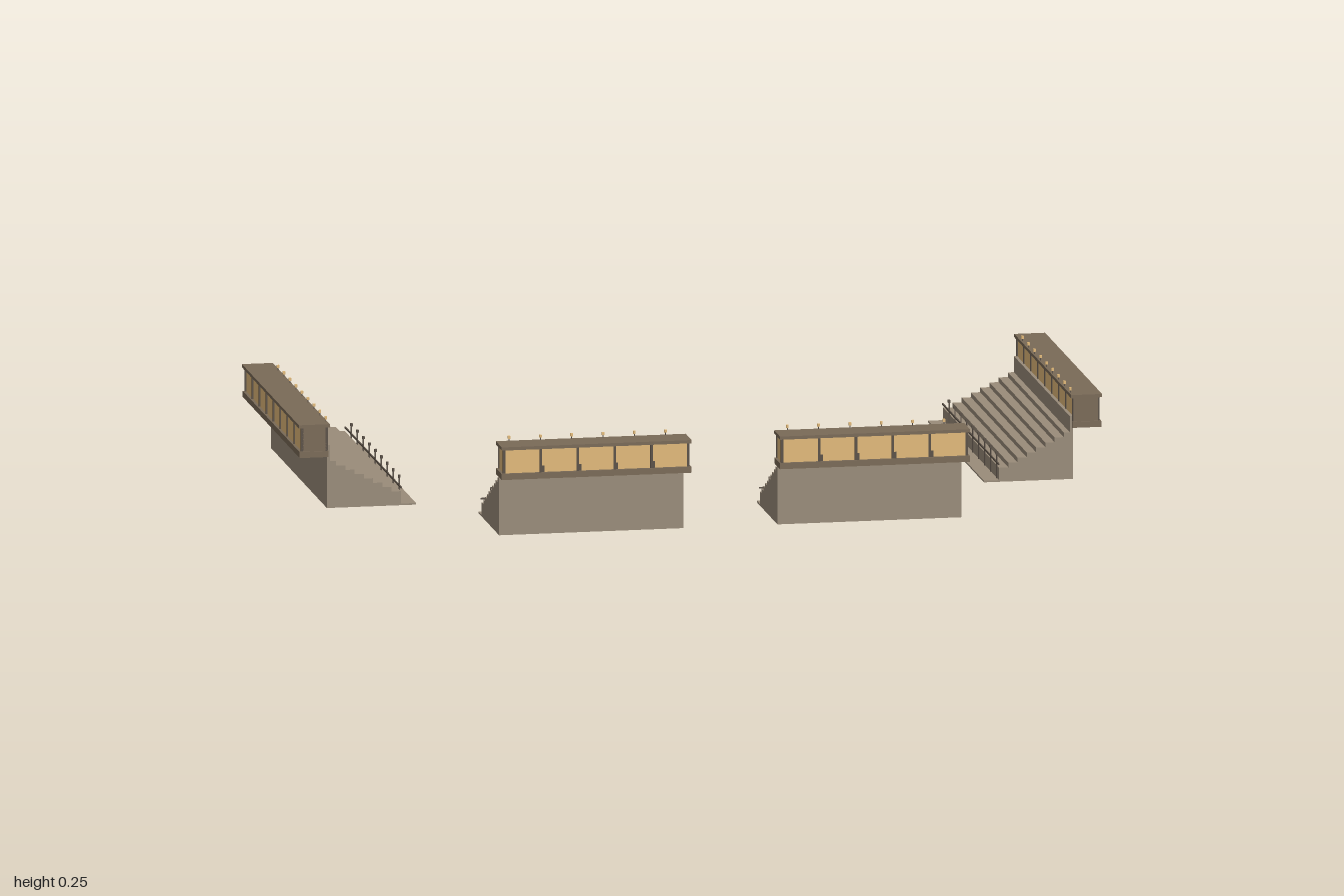
import * as THREE from 'three';

const mat = (color) => new THREE.MeshStandardMaterial({ color, flatShading: true });
const concrete = mat(0x9a8c7a), roofing = mat(0x7a6a57), dark = mat(0x5a5046), glass = mat(0xe3bb7a);

const APRON = 0.038, TREAD = 0.023, RISE = 0.0117, FIRST = 0.035;

// Box given by its min and max corners
function block(parent, name, material, [x0, y0, z0], [x1, y1, z1]) {
  const geo = new THREE.BoxGeometry(x1 - x0, y1 - y0, z1 - z0);
  const mesh = new THREE.Mesh(geo, material);
  mesh.position.set((x0 + x1) / 2, (y0 + y1) / 2, (z0 + z1) / 2);
  mesh.name = name;
  parent.add(mesh);
  return mesh;
}

// One grandstand: length along +x, rows rising towards +z
function grandstand({ length: L, rows, bays, flip = false, closedEnd = false }) {
  const g = new THREE.Group();
  const back = APRON + rows * TREAD;
  const top = FIRST + (rows - 1) * RISE;
  const along = (u) => (flip ? L - u : u);

  // Stepped terrace with its low apron
  const s = new THREE.Shape();
  s.moveTo(0, 0);
  s.lineTo(0, 0.004);
  s.lineTo(APRON, 0.004);
  for (let i = 0; i < rows; i++) {
    s.lineTo(APRON + i * TREAD, FIRST + i * RISE);
    s.lineTo(APRON + (i + 1) * TREAD, FIRST + i * RISE);
  }
  s.lineTo(back, 0);
  s.closePath();
  const geo = new THREE.ExtrudeGeometry(s, { depth: L, bevelEnabled: false });
  geo.rotateY(-Math.PI / 2).translate(L, 0, 0);
  const terrace = new THREE.Mesh(geo, concrete);
  terrace.name = 'terrace';
  g.add(terrace);

  // Parapet behind the top row, carrying the cabin
  block(g, 'parapet', concrete, [0, top - 0.01, back - 0.008], [L, top + 0.04, back]);

  // Cabin: floor slab, glazed body, roof
  const cabin = new THREE.Group();
  cabin.name = 'cabin';
  g.add(cabin);
  const y0 = top + 0.012, y1 = y0 + 0.015, y2 = y1 + 0.059, y3 = y2 + 0.008;
  const front = back + 0.001, rear = back + 0.062;
  block(cabin, 'floorSlab', roofing, [-0.007, y0, back - 0.003], [L + 0.007, y1, back + 0.069]);
  block(cabin, 'windows', glass, [0, y1, front], [L, y2, rear]);
  block(cabin, 'roof', roofing, [-0.007, y2, back - 0.006], [L + 0.007, y3, back + 0.071]);

  // Mullions on both long sides, with a short foot beside each
  for (let i = 0; i <= bays; i++) {
    const x = along((i * L) / bays);
    for (const z of [front, rear]) {
      block(cabin, 'mullion', dark, [x - 0.003, y1, z - 0.003], [x + 0.003, y2, z + 0.003]);
    }
    if (i > 0 && i < bays) {
      const f = along((i * L) / bays + 0.006);
      block(cabin, 'mullionFoot', dark, [f - 0.003, y1, rear - 0.002], [f + 0.003, y1 + 0.016, rear + 0.002]);
    }
  }

  // Solid wall over one end of the cabin
  if (closedEnd) {
    const x = along(0);
    block(cabin, 'endWall', roofing, [x - 0.003, y1, front], [x + 0.003, y2, rear]);
  }

  // Front railing posts and roof lamps at a regular pitch
  const railing = new THREE.Group();
  railing.name = 'railing';
  const lamps = new THREE.Group();
  lamps.name = 'roofLamps';
  g.add(railing, lamps);
  const v = APRON - 0.001;
  block(railing, 'rail', dark, [-0.002, 0.042, v - 0.0015], [L + 0.002, 0.046, v + 0.0015]);
  for (let u = 0.025; u < L - 0.02; u += 0.078) {
    const x = along(u);
    block(railing, 'post', dark, [x - 0.0015, 0.004, v - 0.0015], [x + 0.0015, 0.066, v + 0.0015]);
    block(railing, 'postHead', dark, [x - 0.003, 0.064, v - 0.003], [x + 0.003, 0.071, v + 0.003]);
    const z = back - 0.002;
    block(lamps, 'lampStalk', dark, [x - 0.001, y3, z - 0.001], [x + 0.001, y3 + 0.008, z + 0.001]);
    block(lamps, 'lampHead', glass, [x - 0.003, y3 + 0.006, z - 0.003], [x + 0.003, y3 + 0.013, z + 0.003]);
  }
  return g;
}

export function createModel() {
  const model = new THREE.Group();
  model.name = 'grandstands';
  const place = (name, opts, x, z, turn) => {
    const stand = grandstand(opts);
    stand.name = name;
    stand.position.set(x, 0, z);
    stand.rotation.y = turn;
    model.add(stand);
  };

  // Two stands at the front, rising towards +z
  const short = { length: 0.459, rows: 10, bays: 5 };
  place('frontRightStand', short, -0.576, 0.265, 0);
  place('frontLeftStand', short, 0.117, 0.265, 0);

  // One long stand on each side, rising outwards
  const long = { length: 0.73, rows: 8, bays: 8, closedEnd: true };
  place('leftStand', long, 0.707, 0.135, Math.PI / 2);
  place('rightStand', { ...long, flip: true }, -0.707, -0.595, -Math.PI / 2);
  return model;
}
